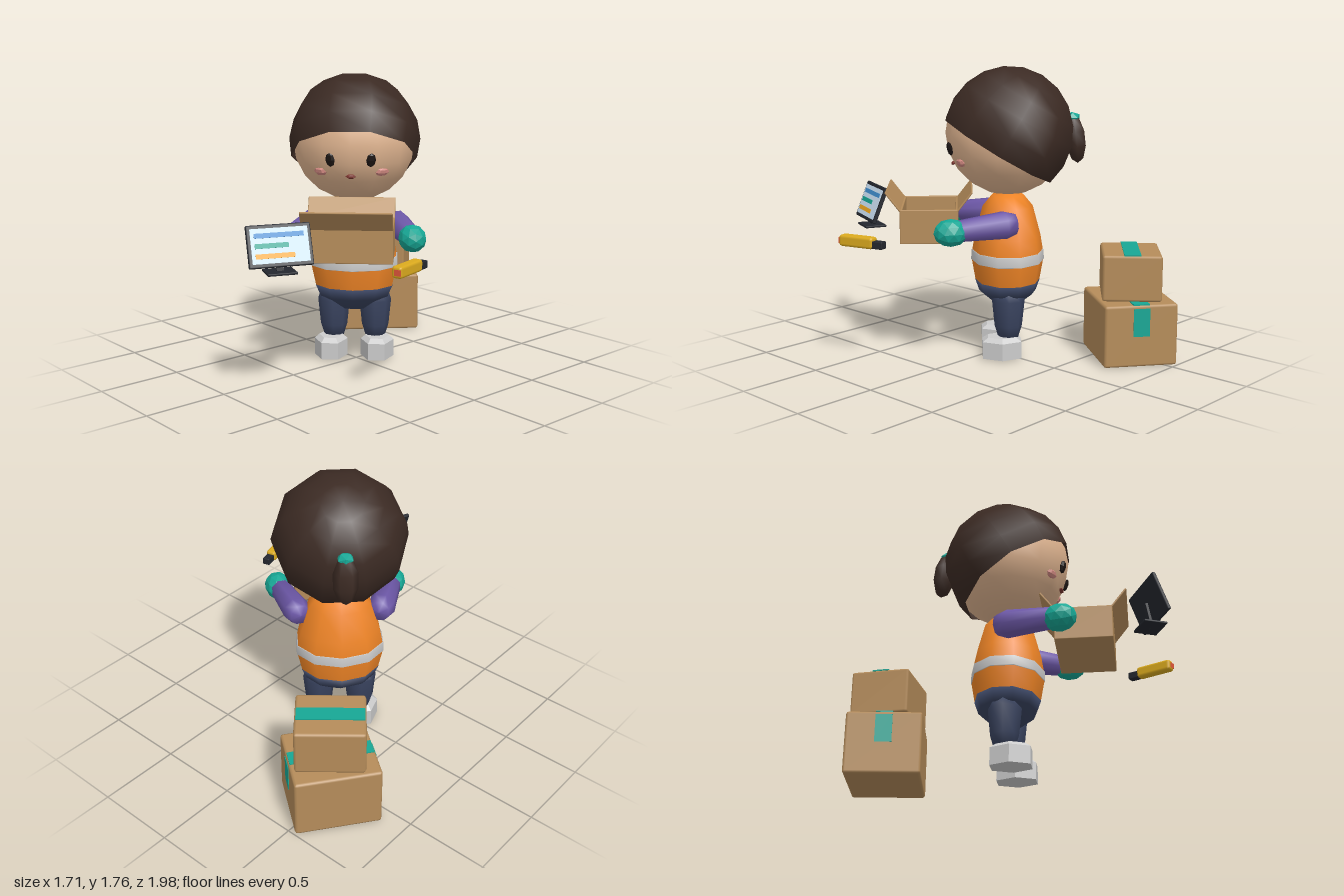
import * as THREE from 'three';
import { RoundedBoxGeometry } from 'three/addons/geometries/RoundedBoxGeometry.js';

const C = {
  skin: 0xe3b792, hair: 0x3b2a23, vest: 0xee8426, band: 0xd9d9d9, navy: 0x39435f, sleeve: 0x6d58a8,
  teal: 0x17a795, shoe: 0xcccccc, card: 0xb58c5a, inner: 0x8a6238, dark: 0x24272e, eye: 0x1d1614,
  cheek: 0xd48b83, mouth: 0x7c3630, yellow: 0xdcab1e, red: 0xe2573b, screen: 0xcde4f7, blue: 0x3f8ed0, amber: 0xf2a922,
};

function mat(color, flatShading = false, side = THREE.FrontSide) {
  return new THREE.MeshStandardMaterial({ color, flatShading, side });
}

function add(parent, name, geo, material, x = 0, y = 0, z = 0) {
  const m = new THREE.Mesh(geo, material);
  m.name = name;
  m.position.set(x, y, z);
  parent.add(m);
  return m;
}

function sub(parent, name, x, y, z, yaw) {
  const g = new THREE.Group();
  g.name = name;
  g.position.set(x, y, z);
  g.rotation.y = yaw;
  parent.add(g);
  return g;
}

const box = (w, h, d) => new THREE.BoxGeometry(w, h, d);
const rbox = (w, h, d, r = 0.012) => new RoundedBoxGeometry(w, h, d, 1, r);
const lathe = (pts, n) => new THREE.LatheGeometry(pts.map(([r, y]) => new THREE.Vector2(r, y)), n);

// Tapered limb between two points, with rounded-off ends
function limb(parent, name, a, b, r0, r1, material) {
  const d = b.clone().sub(a), L = d.length();
  const m = add(parent, name, lathe([[0, -0.05], [r0 * 0.75, -0.035], [r0, 0.03], [r1, L], [0, L + 0.03]], 8), material);
  m.position.copy(a);
  m.quaternion.setFromUnitVectors(new THREE.Vector3(0, 1, 0), d.normalize());
  return m;
}

function buildHead(p) {
  const cy = 1.37;
  const face = add(p, 'face', new THREE.SphereGeometry(0.378, 14, 10), mat(C.skin), 0, cy, 0);
  face.rotation.y = Math.PI / 14;
  // Hair cap cut by a plane that slopes down to the nape
  const hair = add(p, 'hair', new THREE.SphereGeometry(0.402, 10, 6, 0, Math.PI * 2, 0, 1.88), mat(C.hair, false, THREE.DoubleSide), 0, cy, 0);
  hair.rotation.x = -0.54;
  // Ponytail and tie
  const tail = add(p, 'ponytail', new THREE.SphereGeometry(0.075, 6, 5), mat(C.hair), 0, 1.33, -0.41);
  tail.scale.set(1, 2, 0.9);
  tail.rotation.x = 0.12;
  add(p, 'hairTie', new THREE.IcosahedronGeometry(0.05, 0), mat(C.teal, true), 0, 1.46, -0.39).scale.y = 0.7;
  // Eyes, cheeks and mouth lie on the face, turned outward
  const feature = (name, color, x, y, z, w, h, n) => {
    const m = add(p, name, new THREE.SphereGeometry(1, n, 4), mat(color, true), x, y, z);
    m.scale.set(w, h, 0.016);
    m.rotation.order = 'YXZ';
    m.rotation.set(Math.atan2(cy - y, Math.hypot(x, z)), Math.atan2(x, z), 0);
  };
  for (const s of [-1, 1]) {
    feature('eye', C.eye, s * 0.12, 1.285, 0.351, 0.03, 0.043, 6);
    feature('cheek', C.cheek, s * 0.183, 1.207, 0.288, 0.046, 0.026, 6);
  }
  feature('mouth', C.mouth, 0, 1.185, 0.33, 0.032, 0.012, 6);
}

function buildBody(p) {
  const oval = (name, pts, color) => add(p, name, lathe(pts, 10), mat(color)).scale.set(1.1, 1, 0.88);
  oval('vest', [[0.225, 0.455], [0.25, 0.58], [0.247, 0.65], [0.23, 0.74], [0.175, 0.92], [0.11, 0.99], [0, 1.02]], C.vest);
  oval('reflectiveBand', [[0.25, 0.583], [0.256, 0.586], [0.253, 0.645], [0.246, 0.648]], C.band);
  oval('hips', [[0, 0.3], [0.09, 0.31], [0.2, 0.39], [0.228, 0.46], [0, 0.47]], C.navy);
  for (const s of [-1, 1]) {
    add(p, 'leg', lathe([[0, 0.11], [0.06, 0.12], [0.084, 0.2], [0.1, 0.36], [0.08, 0.42], [0, 0.45]], 8), mat(C.navy), s * 0.13, 0, 0);
    // Six-sided shoe with a sloped top
    const shoe = add(p, 'shoe', lathe([[0, 0], [0.104, 0.005], [0.104, 0.11], [0.075, 0.135], [0, 0.135]], 6), mat(C.shoe, true), s * 0.145, 0, 0.04);
    shoe.scale.z = 1.3;
    shoe.rotation.y = Math.PI;
    shoe.geometry.rotateY(Math.PI / 6);
    // Arm reaching forward to the carton
    limb(p, 'arm', new THREE.Vector3(s * 0.25, 0.85, 0), new THREE.Vector3(s * 0.345, 0.83, 0.29), 0.085, 0.066, mat(C.sleeve));
    const hand = add(p, 'glove', new THREE.IcosahedronGeometry(0.083, 1), mat(C.teal, true), s * 0.363, 0.823, 0.345);
    hand.scale.z = 1.25;
    hand.rotation.y = s * 0.25;
  }
}

// Open carton with the front and rear flaps folded outward
function buildOpenCarton(p) {
  const g = sub(p, 'openCarton', 0, 0.735, 0.475, 0);
  const w = 0.52, d = 0.345, h = 0.205, t = 0.016;
  add(g, 'cartonFloor', rbox(w, t, d, 0.005), mat(C.card), 0, t / 2, 0);
  add(g, 'cartonInside', box(w - 2 * t, 0.004, d - 2 * t), mat(C.inner), 0, t + 0.002, 0);
  for (const s of [-1, 1]) {
    add(g, 'cartonEnd', rbox(w, h, t, 0.006), mat(C.card), 0, h / 2, s * (d - t) / 2);
    add(g, 'cartonSide', rbox(t, h, d, 0.006), mat(C.card), s * (w - t) / 2, h / 2, 0);
    const flap = add(g, 'cartonFlap', rbox(w, 0.145, 0.012, 0.005).translate(0, 0.072, 0), mat(C.card), 0, h - 0.01, s * (d / 2 - 0.005));
    flap.rotation.x = s * 0.66;
  }
}

function buildClosedCarton(p, name, y, yaw, w, h, d, tabs) {
  const g = sub(p, name, -0.525, y, -0.658, yaw);
  add(g, 'carton', rbox(w, h, d, 0.016), mat(C.card), 0, h / 2, 0);
  add(g, 'topTape', box(w - 0.015, 0.008, 0.1), mat(C.teal), 0, h + 0.002, 0);
  if (!tabs) return;
  for (const s of [-1, 1]) add(g, 'tapeTab', box(0.008, 0.17, 0.1), mat(C.teal), s * w / 2, h - 0.105, 0);
}

// Screen on a small stand
function buildScreen(p) {
  const g = sub(p, 'screenOnStand', 0.285, 0, 0.805, 1.18);
  add(g, 'standBase', rbox(0.17, 0.014, 0.14, 0.005), mat(C.dark), 0, 0.738, 0);
  const neck = add(g, 'standNeck', box(0.04, 0.15, 0.015), mat(C.dark), 0, 0.805, -0.01);
  neck.rotation.x = -0.2;
  const panel = new THREE.Group();
  panel.name = 'panel';
  panel.position.set(0, 0.885, 0);
  panel.rotation.x = -0.38;
  g.add(panel);
  add(panel, 'frame', rbox(0.365, 0.238, 0.024, 0.008), mat(C.dark));
  add(panel, 'display', box(0.325, 0.195, 0.004), mat(C.screen), 0, 0, 0.013);
  [[C.blue, 0.28], [C.teal, 0.19], [C.amber, 0.22]].forEach(([c, len], i) =>
    add(panel, 'displayBar', box(len, 0.027, 0.006), mat(c), -0.142 + len / 2, 0.057 - i * 0.057, 0.015));
}

// Box cutter
function buildCutter(p) {
  const g = sub(p, 'boxCutter', 0.795, 0.773, 0.33, 0.27);
  add(g, 'handle', rbox(0.066, 0.07, 0.235, 0.018), mat(C.yellow));
  add(g, 'endCap', box(0.04, 0.034, 0.008), mat(C.red), 0.008, 0, 0.116);
  add(g, 'bladeHolder', rbox(0.05, 0.045, 0.08, 0.006), mat(C.dark), 0, -0.008, -0.14);
}

export function createModel() {
  const model = new THREE.Group();
  model.name = 'warehouseWorker';
  const worker = sub(model, 'worker', -0.075, 0, -0.052, Math.PI / 4);
  buildHead(worker);
  buildBody(worker);
  buildOpenCarton(worker);
  buildClosedCarton(model, 'lowerCarton', 0, 0.927, 0.51, 0.378, 0.45, true);
  buildClosedCarton(model, 'upperCarton', 0.385, 0.698, 0.405, 0.28, 0.356, false);
  buildScreen(model);
  buildCutter(model);
  return model;
}
